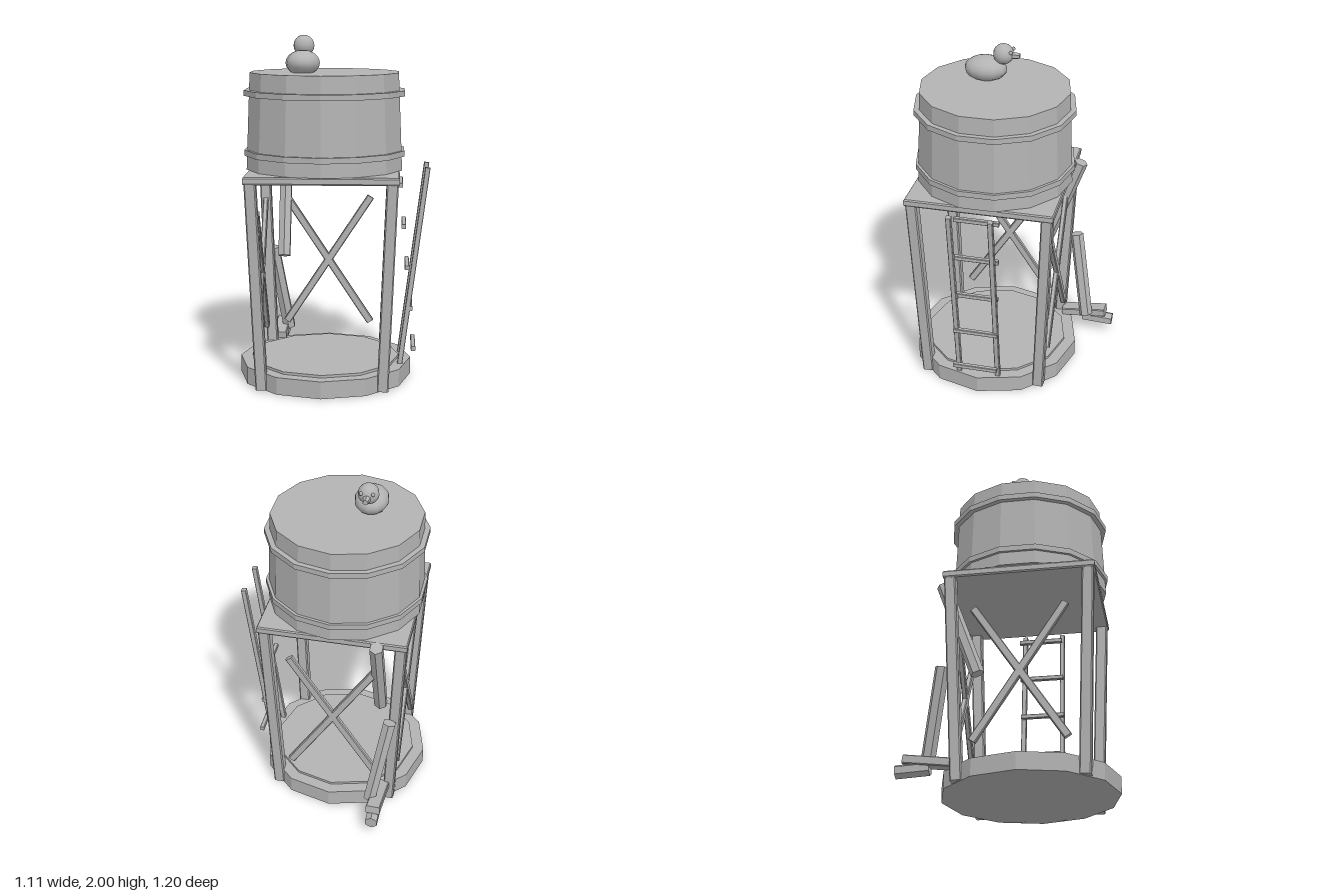
import * as THREE from 'three';

const grey = new THREE.MeshStandardMaterial({ color: 0xb3b3b3 });
grey.name = 'plain grey';

const CX = -0.055, CZ = 0.093; // tower axis

export function createModel() {
  const model = new THREE.Group();
  model.name = 'waterTower';

  function add(name, geometry, x = 0, y = 0, z = 0, parent = model) {
    const mesh = new THREE.Mesh(geometry, grey);
    mesh.name = name;
    mesh.position.set(x, y, z);
    parent.add(mesh);
    return mesh;
  }

  // un-indexed geometry gives crisp facets
  function faceted(geometry) {
    const g = geometry.index ? geometry.toNonIndexed() : geometry;
    g.computeVertexNormals();
    return g;
  }

  function drum(name, rTop, rBottom, y0, y1, sides) {
    const g = faceted(new THREE.CylinderGeometry(rTop, rBottom, y1 - y0, sides));
    return add(name, g, CX, (y0 + y1) / 2, CZ);
  }

  // cross-sections for timber
  function plank(w, h, c = 0.005) {
    const a = w / 2, b = h / 2;
    return [[a, c - b], [a, b - c], [a - c, b], [c - a, b], [-a, b - c], [-a, c - b], [c - a, -b], [a - c, -b]];
  }
  function ngon(r, n) {
    return Array.from({ length: n }, (_, i) => {
      const t = Math.PI / 2 + i * 2 * Math.PI / n;
      return [r * Math.cos(t), r * Math.sin(t)];
    });
  }

  // straight beam of a given section between two points
  function beam(name, section, from, to, up = [0, 1, 0], parent = model) {
    const a = new THREE.Vector3(...from), b = new THREE.Vector3(...to);
    const shape = new THREE.Shape(section.map(p => new THREE.Vector2(...p)));
    const g = new THREE.ExtrudeGeometry(shape, { depth: a.distanceTo(b), bevelEnabled: false });
    const mesh = new THREE.Mesh(g, grey);
    mesh.name = name;
    mesh.position.copy(a);
    mesh.up.set(...up);
    mesh.lookAt(b);
    parent.add(mesh);
    return mesh;
  }

  // footing
  drum('footing', 0.505, 0.505, 0, 0.1, 12);
  drum('footingCap', 0.435, 0.435, 0.1, 0.115, 12);

  // tank with two hoops
  drum('tank', 0.435, 0.458, 1.235, 1.79, 14);
  drum('lowerHoop', 0.47, 0.47, 1.315, 1.348, 14);
  drum('upperHoop', 0.47, 0.47, 1.658, 1.69, 14);

  // square platform with chamfered rims
  const half = Math.SQRT2 * 0.433, c = 0.008;
  const rim = [[0, 1.192], [half - c, 1.192], [half, 1.2], [half, 1.228], [half - c, 1.236], [0, 1.236]];
  const slab = new THREE.LatheGeometry(rim.map(p => new THREE.Vector2(...p)), 4, Math.PI / 4);
  add('platform', faceted(slab), CX, 0, CZ);

  // four leaning legs
  for (const sx of [-1, 1]) for (const sz of [-1, 1]) {
    beam('leg', plank(0.066, 0.066, 0.007),
      [CX + sx * 0.345, 0.005, CZ + sz * 0.345],
      [CX + sx * 0.394, 1.2, CZ + sz * 0.394], [0, 0, 1]);
  }

  // crossed braces on the back and one side
  for (const s of [-1, 1]) {
    beam('backBrace', plank(0.03, 0.045),
      [CX - s * 0.26, 0.215, -0.285], [CX + s * 0.26, 1.005, -0.285], [1, 0, 0]);
    beam('sideBrace', plank(0.03, 0.045),
      [-0.43, 0.215, CZ - s * 0.26], [-0.43, 1.005, CZ + s * 0.26], [0, 0, 1]);
  }

  // ladder with loose rungs
  const ladder = new THREE.Group();
  ladder.name = 'ladder';
  model.add(ladder);
  for (const z of [-0.022, 0.215]) {
    beam('ladderRail', plank(0.03, 0.03, 0.003), [0.375, 0, z], [0.538, 1.255, z], [0, 0, 1], ladder);
  }
  for (let i = 0; i < 5; i++) {
    const x = 0.465 - i * 0.02, y = 0.19 + i * 0.241;
    beam('ladderRung', plank(0.026, 0.026, 0.003), [x, y, -0.035], [x, y, 0.23], [0, 1, 0], ladder);
  }

  // broken timber at the back corner
  beam('hangingTimber', ngon(0.041, 6), [-0.32, 0.655, -0.163], [-0.32, 1.225, -0.37], [0, 0, 1]);
  beam('leaningTimber', ngon(0.041, 6), [-0.315, 0.135, -0.435], [-0.405, 0.67, -0.345], [0, 0, 1]);
  beam('fallenTimber', ngon(0.04, 6), [-0.355, 0.1, -0.41], [-0.355, 0.09, -0.6]);
  beam('fallenPlank', plank(0.085, 0.05), [-0.365, 0.115, -0.28], [-0.355, 0.152, -0.555]);

  // bird sitting on the tank
  const bird = new THREE.Group();
  bird.name = 'bird';
  bird.position.x = -0.177;
  model.add(bird);
  const body = add('birdBody', new THREE.SphereGeometry(1, 12, 10), 0, 1.845, 0.177, bird);
  body.scale.set(0.098, 0.073, 0.125);
  add('birdHead', new THREE.SphereGeometry(0.06, 12, 10), 0, 1.94, 0.073, bird);
  const beak = add('birdBeak', faceted(new THREE.CylinderGeometry(0.016, 0.024, 0.05, 6)), 0, 1.935, 0.003, bird);
  beak.rotation.x = -Math.PI / 2;
  for (const s of [-1, 1]) add('birdEye', new THREE.SphereGeometry(0.011, 8, 6), s * 0.034, 1.962, 0.023, bird);

  return model;
}
